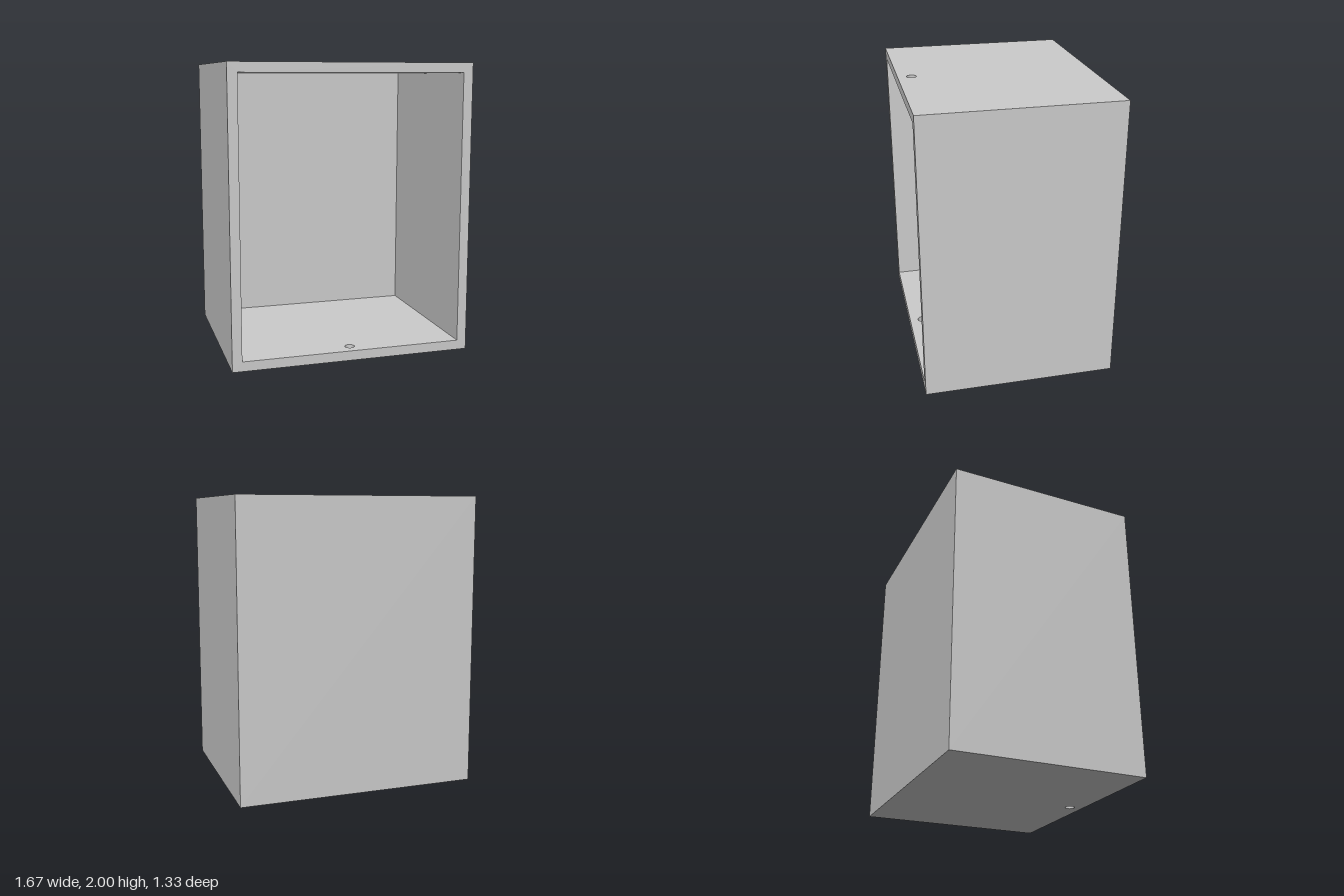
import * as THREE from 'three';
import { mergeGeometries } from 'three/addons/utils/BufferGeometryUtils.js';

const W = 5 / 3, H = 2, D = 4 / 3;      // outer size
const T = 0.0667, BACK = 0.1333;        // wall and back thickness
const IW = W - 2 * T, IH = H - 2 * T, ID = D - BACK;
const HOLE_Z = 0.573, HOLE_R = 0.0335, SEG = 32;
const Q = Math.PI / 2;

function rectPoints(w, h) {
  return [[-1, -1], [1, -1], [1, 1], [-1, 1]].map(([x, y]) => new THREE.Vector2(x * w / 2, y * h / 2));
}

// Flat rectangle facing +z, then turned and moved into place
function face(w, h, rx, ry, pos, hole) {
  const shape = new THREE.Shape(rectPoints(w, h));
  if (hole) shape.holes.push(hole);
  const g = new THREE.ShapeGeometry(shape, SEG);
  return g.rotateX(rx).rotateY(ry).translate(...pos);
}

// Horizontal face, pierced by the pin hole near the front
function deck(w, d, y, z, up) {
  const hole = new THREE.Path().absarc(0, (HOLE_Z - z) * (up ? -1 : 1), HOLE_R, 0, Math.PI * 2, true);
  return face(w, d, up ? -Q : Q, 0, [0, y, z], hole);
}

export function createModel() {
  const group = new THREE.Group();
  group.name = 'openCabinet';
  const material = new THREE.MeshStandardMaterial({ color: 0xcccccc });
  const add = (name, geometry) => {
    const mesh = new THREE.Mesh(geometry, material);
    mesh.name = name;
    group.add(mesh);
    return mesh;
  };
  const mid = H / 2, innerZ = BACK / 2;

  // Outside of the box
  add('outerShell', mergeGeometries([
    face(D, H, 0, Q, [W / 2, mid, 0]),
    face(D, H, 0, -Q, [-W / 2, mid, 0]),
    face(W, H, 0, Math.PI, [0, mid, -D / 2]),
    deck(W, D, H, 0, true),
    deck(W, D, 0, 0, false),
  ]));

  // Walls of the open compartment
  add('compartment', mergeGeometries([
    face(ID, IH, 0, -Q, [IW / 2, mid, innerZ]),
    face(ID, IH, 0, Q, [-IW / 2, mid, innerZ]),
    face(IW, IH, 0, 0, [0, mid, -D / 2 + BACK]),
    deck(IW, ID, T, innerZ, true),
    deck(IW, ID, H - T, innerZ, false),
  ]));

  // Rim around the front opening
  add('frontRim', face(W, H, 0, 0, [0, mid, D / 2], new THREE.Path(rectPoints(IW, IH).reverse())));

  // Pin holes through the top and bottom; descending profile faces inward
  for (const [name, y] of [['bottomPinHole', 0], ['topPinHole', H - T]]) {
    const profile = [new THREE.Vector2(HOLE_R, T), new THREE.Vector2(HOLE_R, 0)];
    add(name, new THREE.LatheGeometry(profile, SEG)).position.set(0, y, HOLE_Z);
  }
  return group;
}
